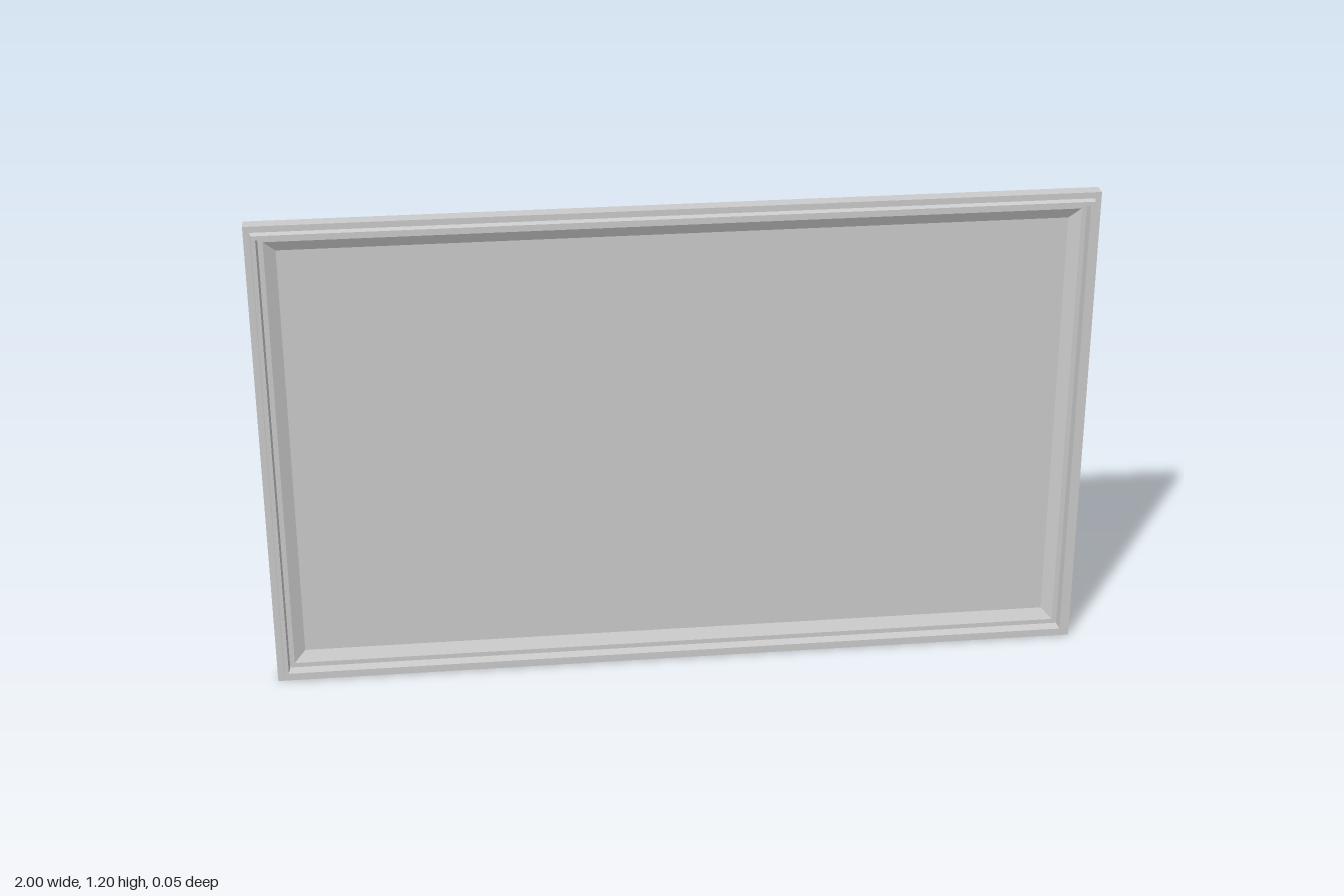
import * as THREE from 'three';

const W = 2, H = 1.2;
const material = new THREE.MeshStandardMaterial({ color: 0xcccccc, flatShading: true, side: THREE.DoubleSide });

// Moulding cross-sections as [inset from outer edge, z], from outside to inside
const sections = {
  outerRim: [[0, -0.025], [0, 0.01], [0.015, 0.01]],
  raisedBead: [[0.015, 0.01], [0.018, 0.025], [0.028, 0.025], [0.031, 0]],
  innerLedge: [[0.031, 0], [0.043, 0]],
  panelBevel: [[0.043, 0], [0.07, -0.015]],
};

// The four corners of the rectangle at a given inset, anticlockwise from the front
function corners([d, z]) {
  const x = W / 2 - d;
  return [[-x, d, z], [x, d, z], [x, H - d, z], [-x, H - d, z]];
}

// Sweeps a section round the rectangle with mitred corners
function mitredLoop(name, section) {
  const pos = [];
  for (let i = 0; i < section.length - 1; i++) {
    const outer = corners(section[i]), inner = corners(section[i + 1]);
    for (let k = 0; k < 4; k++) {
      const n = (k + 1) % 4;
      pos.push(...outer[k], ...outer[n], ...inner[n], ...outer[k], ...inner[n], ...inner[k]);
    }
  }
  const geometry = new THREE.BufferGeometry();
  geometry.setAttribute('position', new THREE.Float32BufferAttribute(pos, 3));
  geometry.computeVertexNormals();
  const mesh = new THREE.Mesh(geometry, material);
  mesh.name = name;
  return mesh;
}

export function createModel() {
  const group = new THREE.Group();
  group.name = 'framedPanel';

  // Pressed moulding, open at the back
  for (const [name, section] of Object.entries(sections)) group.add(mitredLoop(name, section));

  // Flat centre, set back from the moulding
  const [inset, z] = sections.panelBevel[1];
  const panel = new THREE.Mesh(new THREE.PlaneGeometry(W - 2 * inset, H - 2 * inset), material);
  panel.position.set(0, H / 2, z);
  panel.name = 'centrePanel';
  group.add(panel);

  return group;
}
